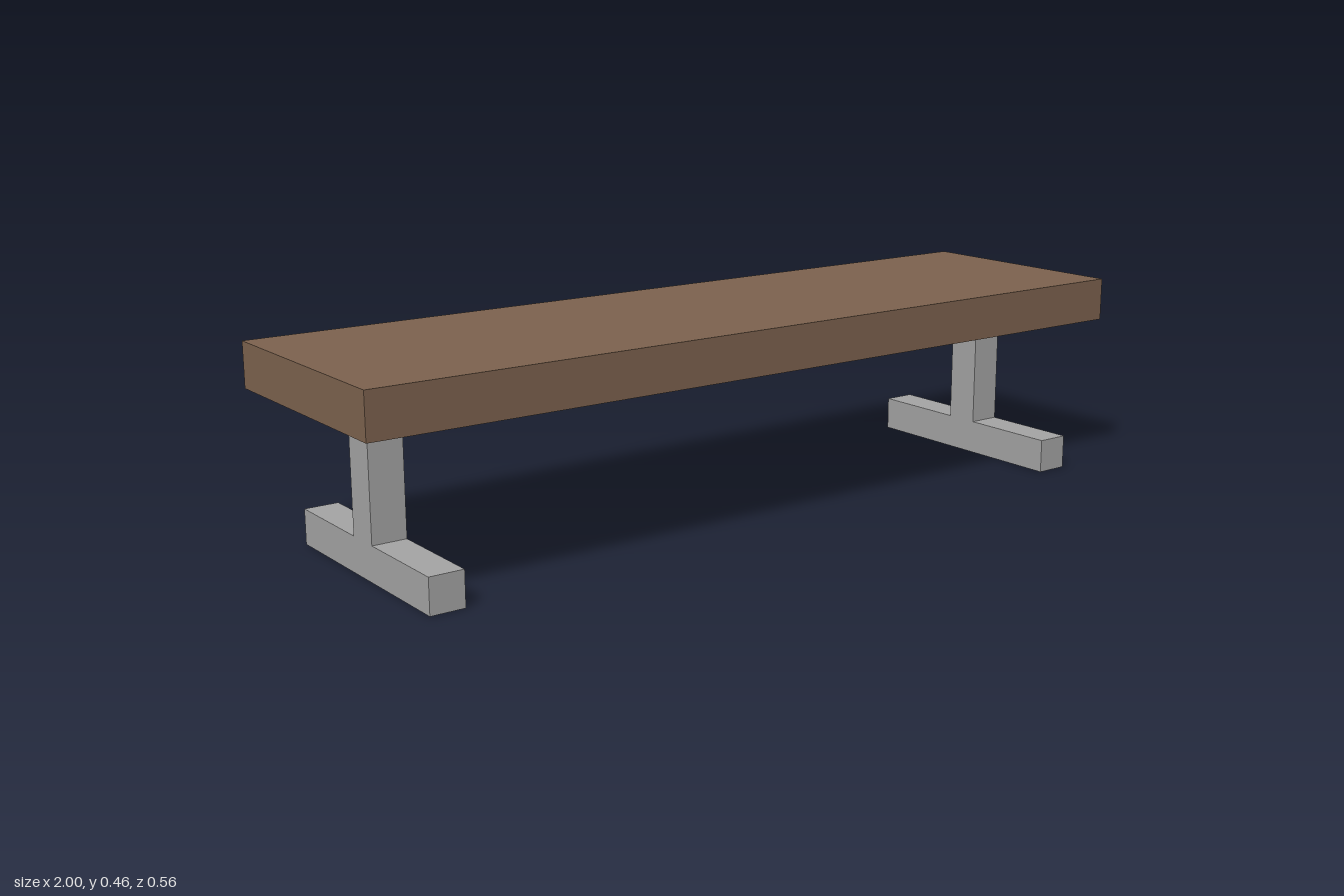
import * as THREE from 'three';

export function createModel() {
  const wood = new THREE.MeshStandardMaterial({ color: 0x7c624e });
  wood.name = 'brown wood';
  const metal = new THREE.MeshStandardMaterial({ color: 0xa4a4a4 });
  metal.name = 'grey metal';

  const bench = new THREE.Group();
  bench.name = 'bench';

  // Seat slab
  const seat = new THREE.Mesh(new THREE.BoxGeometry(2, 0.101, 0.556), wood);
  seat.name = 'seat';
  seat.position.set(0, 0.4135, 0.003);
  bench.add(seat);

  // Inverted T profile: foot bar and post in one piece, extruded along x
  const foot = 0.2785, post = 0.041, footTop = 0.08, legTop = 0.363, width = 0.079;
  const profile = new THREE.Shape([
    [-foot, 0], [foot, 0], [foot, footTop], [post, footTop],
    [post, legTop], [-post, legTop], [-post, footTop], [-foot, footTop],
  ].map(([z, y]) => new THREE.Vector2(z, y)));
  const legGeometry = new THREE.ExtrudeGeometry(profile, { depth: width, bevelEnabled: false });
  legGeometry.translate(0, 0, -width / 2);
  legGeometry.rotateY(Math.PI / 2);

  for (const [name, x] of [['rightLeg', -0.843], ['leftLeg', 0.851]]) {
    const leg = new THREE.Mesh(legGeometry, metal);
    leg.name = name;
    leg.position.x = x;
    bench.add(leg);
  }

  return bench;
}
